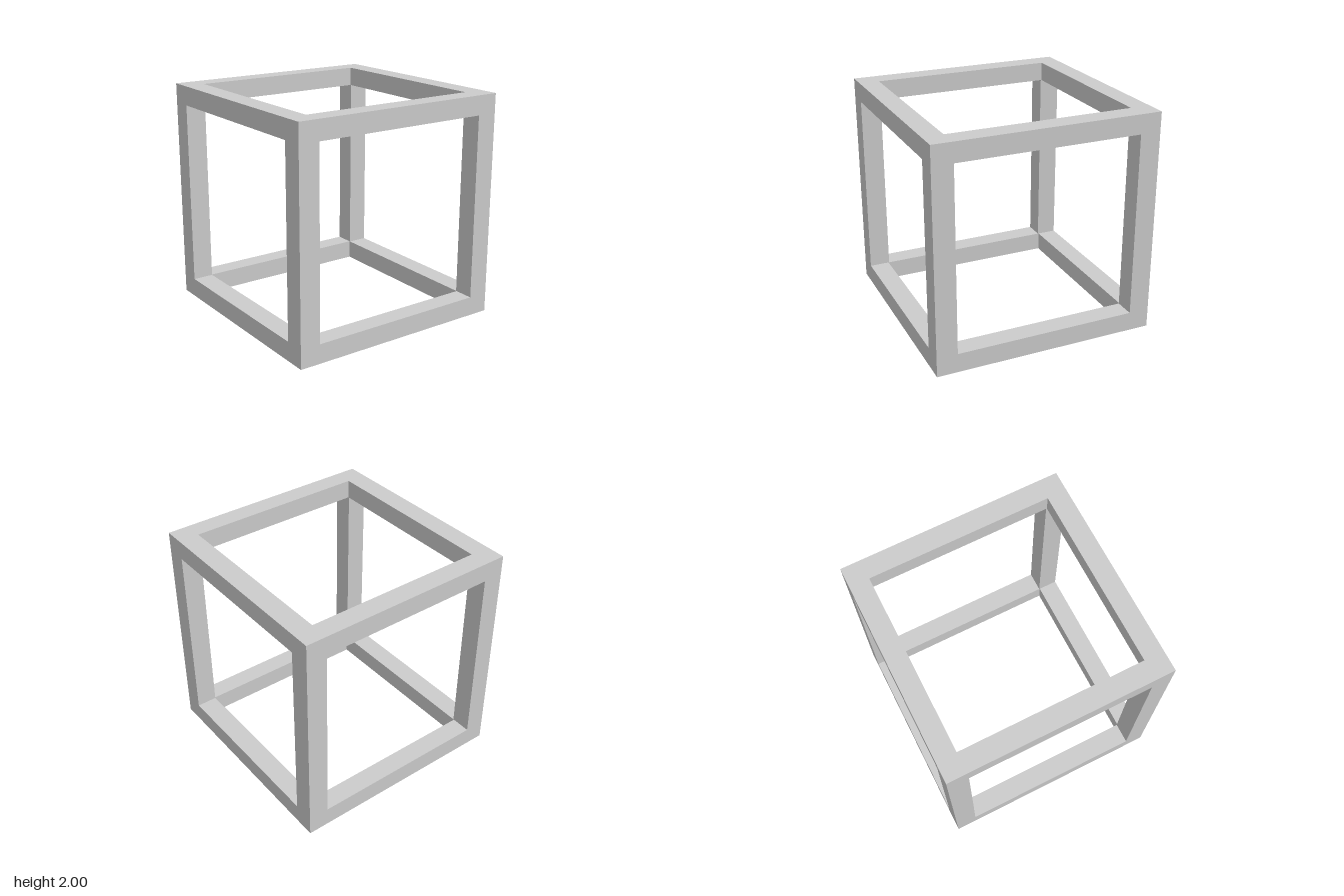
import * as THREE from 'three';

const SIZE = 2;
const POST = 0.185;        // square post thickness
const RAIL_H = 0.172;      // rail height
const RAIL_D = 0.178;      // depth of the front and back rails

export function createModel() {
  const model = new THREE.Group();
  model.name = 'cubeFrame';
  const material = new THREE.MeshStandardMaterial({ color: 0xcccccc, flatShading: true });
  const span = SIZE - 2 * POST;

  const bar = (name, w, h, d, x, y, z) => {
    const mesh = new THREE.Mesh(new THREE.BoxGeometry(w, h, d), material);
    mesh.name = name;
    mesh.position.set(x, y, z);
    model.add(mesh);
  };

  // Four corner posts, full height
  for (const sx of [-1, 1]) {
    for (const sz of [-1, 1]) {
      const name = (sz > 0 ? 'front' : 'back') + (sx > 0 ? 'Left' : 'Right') + 'Post';
      bar(name, POST, SIZE, POST, sx * (1 - POST / 2), SIZE / 2, sz * (1 - POST / 2));
    }
  }

  // Bottom and top rails, fitted between the posts
  for (const level of ['bottom', 'top']) {
    const y = level === 'top' ? SIZE - RAIL_H / 2 : RAIL_H / 2;
    for (const s of [-1, 1]) {
      bar(level + (s > 0 ? 'Front' : 'Back') + 'Rail', span, RAIL_H, RAIL_D, 0, y, s * (1 - RAIL_D / 2));
      bar(level + (s > 0 ? 'Left' : 'Right') + 'Rail', POST, RAIL_H, span, s * (1 - POST / 2), y, 0);
    }
  }
  return model;
}
